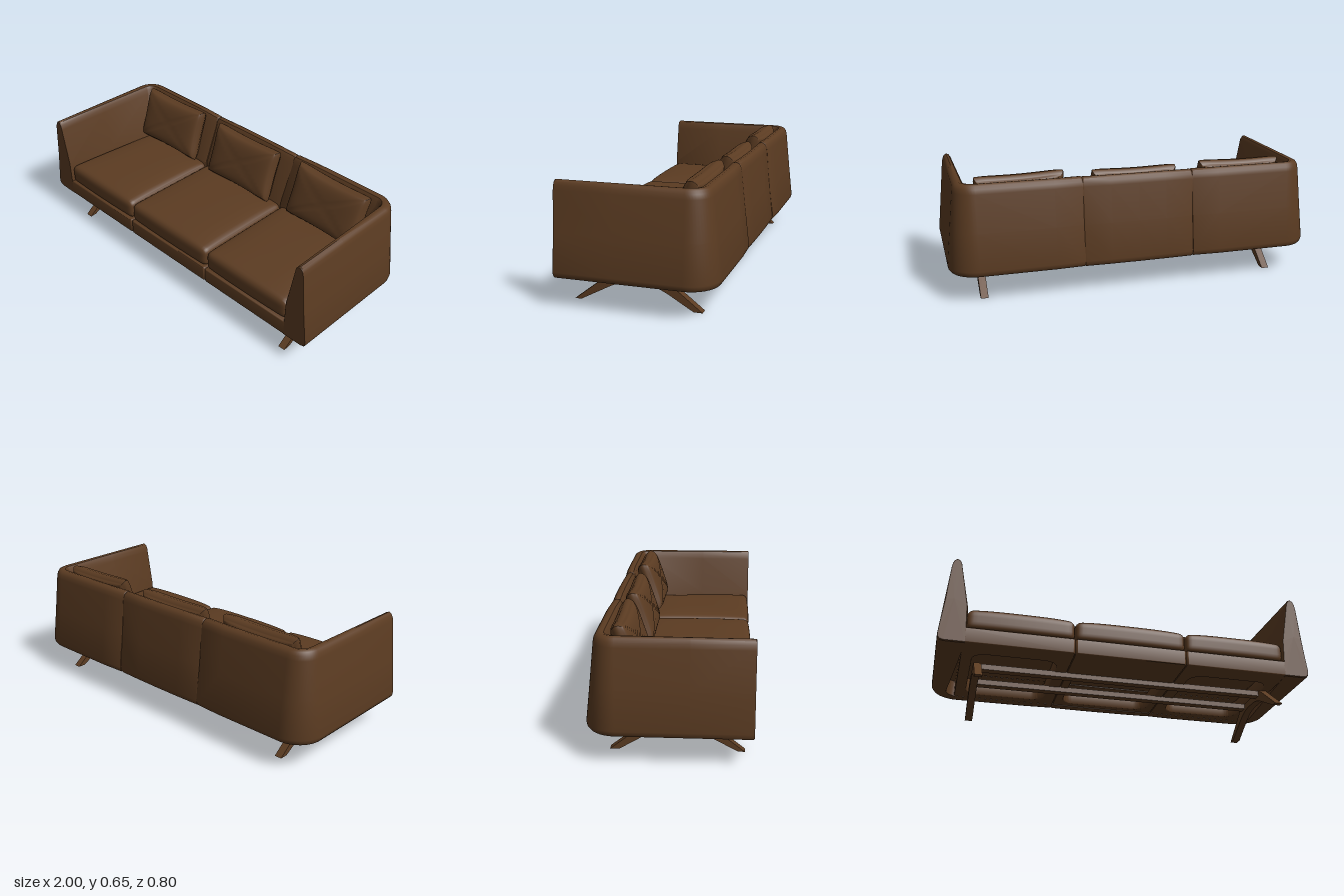
import * as THREE from 'three';
import { mergeVertices, toCreasedNormals } from 'three/addons/utils/BufferGeometryUtils.js';

const leather = new THREE.MeshStandardMaterial({ color: 0x5c3c22 });
leather.name = 'brown leather';

// Wall cross-section: inset along the back, inset at the arm front, height
const SECTION = [
  [0.03, 0.03, 0.15], [0.01, 0.01, 0.156], [0.001, 0.002, 0.168], [-0.002, 0, 0.185],
  [0.02, 0.02, 0.38], [0.041, 0.04, 0.58], [0.046, 0.045, 0.604], [0.056, 0.053, 0.62],
  [0.073, 0.066, 0.628], [0.092, 0.079, 0.624], [0.103, 0.09, 0.607], [0.109, 0.095, 0.58],
  [0.2, 0.138, 0.36], [0.2, 0.14, 0.24], [0.085, 0.14, 0.238], [0.08, 0.14, 0.15],
];

function mesh(name, geometry) {
  const m = new THREE.Mesh(geometry, leather);
  m.name = name;
  return m;
}

// Closed skin over rings of points, with fan caps; turned outward by its signed volume
function loft(rings) {
  const n = rings[0].length;
  const pts = rings.flat();
  const faces = [];
  for (let i = 0; i < rings.length - 1; i++) {
    for (let j = 0; j < n; j++) {
      const a = i * n + j, b = i * n + (j + 1) % n;
      faces.push([a, b, b + n], [a, b + n, a + n]);
    }
  }
  [0, rings.length - 1].forEach((i) => {
    const c = pts.length;
    pts.push(centre(rings[i]));
    for (let j = 0; j < n; j++) {
      const a = i * n + j, b = i * n + (j + 1) % n;
      faces.push(i ? [a, b, c] : [b, a, c]);
    }
  });
  const cross = new THREE.Vector3();
  let volume = 0;
  for (const [a, b, c] of faces) volume += pts[a].dot(cross.crossVectors(pts[b], pts[c]));
  if (volume < 0) faces.forEach((f) => f.reverse());
  const g = new THREE.BufferGeometry().setFromPoints(pts);
  g.setIndex(faces.flat());
  return toCreasedNormals(g, 0.7);
}

function centre(ring) {
  return ring.reduce((s, p) => s.add(p), new THREE.Vector3()).divideScalar(ring.length);
}

// Smaller copy of an end ring, pushed outward to soften the edge
function softEnd(ring, dx, dz) {
  const c = centre(ring);
  return ring.map((p) => {
    const dir = c.clone().sub(p).setLength(0.005);
    return p.clone().add(dir).add(new THREE.Vector3(dx, 0, dz));
  });
}

// Corner wall: along the back, round the corner, forward along the tapering arm
function cornerWall(side) {
  const ringAt = (place, front = 0) => SECTION.map(([db, da, y]) => {
    const r = Math.max(0.15 - db, 0.03);
    const d = THREE.MathUtils.lerp(db, da, front);
    const [x, z] = place(1 - d, -0.4 + db, r);
    return new THREE.Vector3(x * side, y, z);
  });
  const rings = [ringAt((x, z) => [0.306, z + 0.007]), ringAt((x, z) => [0.45, z])];
  const steps = 12;
  for (let k = 0; k <= steps; k++) {
    const a = (k / steps) * Math.PI / 2;
    rings.push(ringAt((x, z, r) => [x - r + r * Math.sin(a), z + r - r * Math.cos(a)]));
  }
  rings.push(ringAt((x) => [x, 0.1], 0.57), ringAt((x) => [x, 0.395], 1));
  rings.unshift(softEnd(rings[0], -0.006 * side, 0));
  rings.push(softEnd(rings[rings.length - 1], 0, 0.005));
  return loft(rings);
}

// Straight middle back, slightly bowed
function middleBack() {
  const ringAt = (x) => SECTION.map(([db, , y]) =>
    new THREE.Vector3(x, y - 0.002, -0.39 + db * 0.95 - 0.005 * (1 - (x / 0.293) ** 2)));
  const rings = [-0.293, -0.15, 0, 0.15, 0.293].map(ringAt);
  rings.unshift(softEnd(rings[0], -0.007, 0));
  rings.push(softEnd(rings[rings.length - 1], 0.007, 0));
  return loft(rings);
}

function roundRect(path, x0, x1, z0, z1, r) {
  path.moveTo(x0 + r, z0);
  path.lineTo(x1 - r, z0).absarc(x1 - r, z0 + r, r, -Math.PI / 2, 0);
  path.lineTo(x1, z1 - r).absarc(x1 - r, z1 - r, r, 0, Math.PI / 2);
  path.lineTo(x0 + r, z1).absarc(x0 + r, z1 - r, r, Math.PI / 2, Math.PI);
  path.lineTo(x0, z0 + r).absarc(x0 + r, z0 + r, r, Math.PI, Math.PI * 1.5);
  return path;
}

// Base frame with an open underside
function baseFrame([x0, x1, z0, z1], hole) {
  const bevel = 0.008;
  const shape = roundRect(new THREE.Shape(), x0 + bevel, x1 - bevel, z0 + bevel, z1 - bevel, 0.003);
  shape.holes.push(roundRect(new THREE.Path(), ...hole, 0.08));
  const g = new THREE.ExtrudeGeometry(shape, {
    depth: 0.087 - 2 * bevel, bevelThickness: bevel, bevelSize: bevel, bevelSegments: 4, curveSegments: 8,
  });
  g.rotateX(Math.PI / 2).translate(0, 0.238 - bevel, 0);
  return toCreasedNormals(g, 0.7);
}

const ease = (t) => Math.sin(t * Math.PI / 2);

// Box grid whose vertices are moved by a rule taking -1..1 coordinates
function ruledBox(nx, ny, nz, rule) {
  let g = new THREE.BoxGeometry(2, 2, 2, nx, ny, nz);
  g.deleteAttribute('uv');
  g.deleteAttribute('normal');
  g = mergeVertices(g);
  const p = g.attributes.position;
  for (let i = 0; i < p.count; i++) {
    p.setXYZ(i, ...rule(ease(p.getX(i)), ease(p.getY(i)), ease(p.getZ(i))));
  }
  g.computeVertexNormals();
  return g;
}

// Seat cushion with rounded edges and a crowned top; side cushions narrow toward the back
function seatCushion(w, h, d, r, side) {
  const half = new THREE.Vector3(w / 2, h / 2, d / 2);
  const limit = half.clone().subScalar(r);
  return ruledBox(24, 12, 24, (x, y, z) => {
    const p = new THREE.Vector3(x, y, z).multiply(half);
    const core = p.clone().clamp(limit.clone().negate(), limit);
    const out = p.sub(core);
    if (out.lengthSq() > 0) out.setLength(r);
    core.add(out);
    const crown = (1 - x ** 4) * (1 - 0.75 * z ** 4);
    if (y > 0) core.y += 0.021 * crown * y;
    if (z > 0) core.z += 0.005 * z * (1 - x * x);
    core.x -= side * 0.05 * (1 + x * side) / 2 * (1 - z) / 2;
    return core.toArray();
  });
}

// Back pillow: plump middle, rounded rim and stitched diagonals
function pillow() {
  return ruledBox(24, 24, 6, (x, y, z) => {
    const plump = ((1 - x ** 4) * (1 - y ** 4)) ** 0.4;
    const stitch = Math.abs(Math.abs(x) - Math.abs(y)) < 0.005 && Math.abs(x) < 0.95 ? 0.004 : 0;
    const thick = 0.024 + 0.032 * plump - stitch;
    const rim = 0.012 * z * z;
    const px = x * (0.237 - 0.006 * (1 - y * y) - 0.005 * y ** 8 - rim);
    const py = y * (0.154 - 0.01 * (1 - x * x) - 0.005 * x ** 8 - rim);
    return [px, py, z * thick];
  });
}

// Splayed leg bracket with an arched underside
function legBracket() {
  const s = new THREE.Shape();
  s.moveTo(0.362, 0);
  s.lineTo(0.165, 0.154);
  s.lineTo(-0.105, 0.154);
  s.lineTo(-0.302, 0);
  s.lineTo(-0.257, 0);
  s.lineTo(-0.13, 0.075);
  s.bezierCurveTo(-0.06, 0.113, -0.03, 0.115, 0.03, 0.115);
  s.bezierCurveTo(0.09, 0.115, 0.12, 0.113, 0.19, 0.075);
  s.lineTo(0.325, 0.003);
  const g = new THREE.ExtrudeGeometry(s, { depth: 0.04, bevelEnabled: false, curveSegments: 12 });
  g.rotateY(-Math.PI / 2).translate(0.02, 0, 0);
  return toCreasedNormals(g, 0.6);
}

export function createModel() {
  const sofa = new THREE.Group();
  sofa.name = 'sofa';

  // Shell and base
  sofa.add(mesh('middleBack', middleBack()));
  sofa.add(mesh('middleBase', baseFrame([-0.299, 0.299, -0.34, 0.4], [-0.26, 0.26, -0.29, 0.12])));
  for (const side of [1, -1]) {
    const label = side > 0 ? 'left' : 'right';
    sofa.add(mesh(label + 'Wall', cornerWall(side)));
    const outer = side > 0 ? [0.3, 0.872] : [-0.872, -0.3];
    const inner = side > 0 ? [0.36, 0.82] : [-0.82, -0.36];
    sofa.add(mesh(label + 'Base', baseFrame([...outer, -0.33, 0.4], [...inner, -0.28, 0.28])));
  }

  // Seat cushions
  for (const [x, w, side] of [[-0.582, 0.562, -1], [0, 0.6, 0], [0.582, 0.562, 1]]) {
    const cushion = mesh('seatCushion', seatCushion(w, 0.112, 0.605, 0.032, side));
    cushion.position.set(x, 0.291, 0.09);
    sofa.add(cushion);
  }

  // Pillows leaning on the back
  for (const [x, y, roll] of [[-0.6, 0.504, 0.012], [-0.002, 0.496, 0], [0.612, 0.504, -0.025]]) {
    const p = mesh('pillow', pillow());
    p.position.set(x, y, -0.21);
    p.rotation.set(-0.32, 0, roll);
    sofa.add(p);
  }

  // Legs and the rails joining them
  for (const x of [-0.78, 0.825]) {
    const leg = mesh('legBracket', legBracket());
    leg.position.x = x;
    sofa.add(leg);
  }
  for (const z of [0.13, -0.075]) {
    const rail = mesh('rail', new THREE.BoxGeometry(1.6, 0.03, 0.045));
    rail.position.set(0.022, 0.14, z);
    sofa.add(rail);
  }
  return sofa;
}
